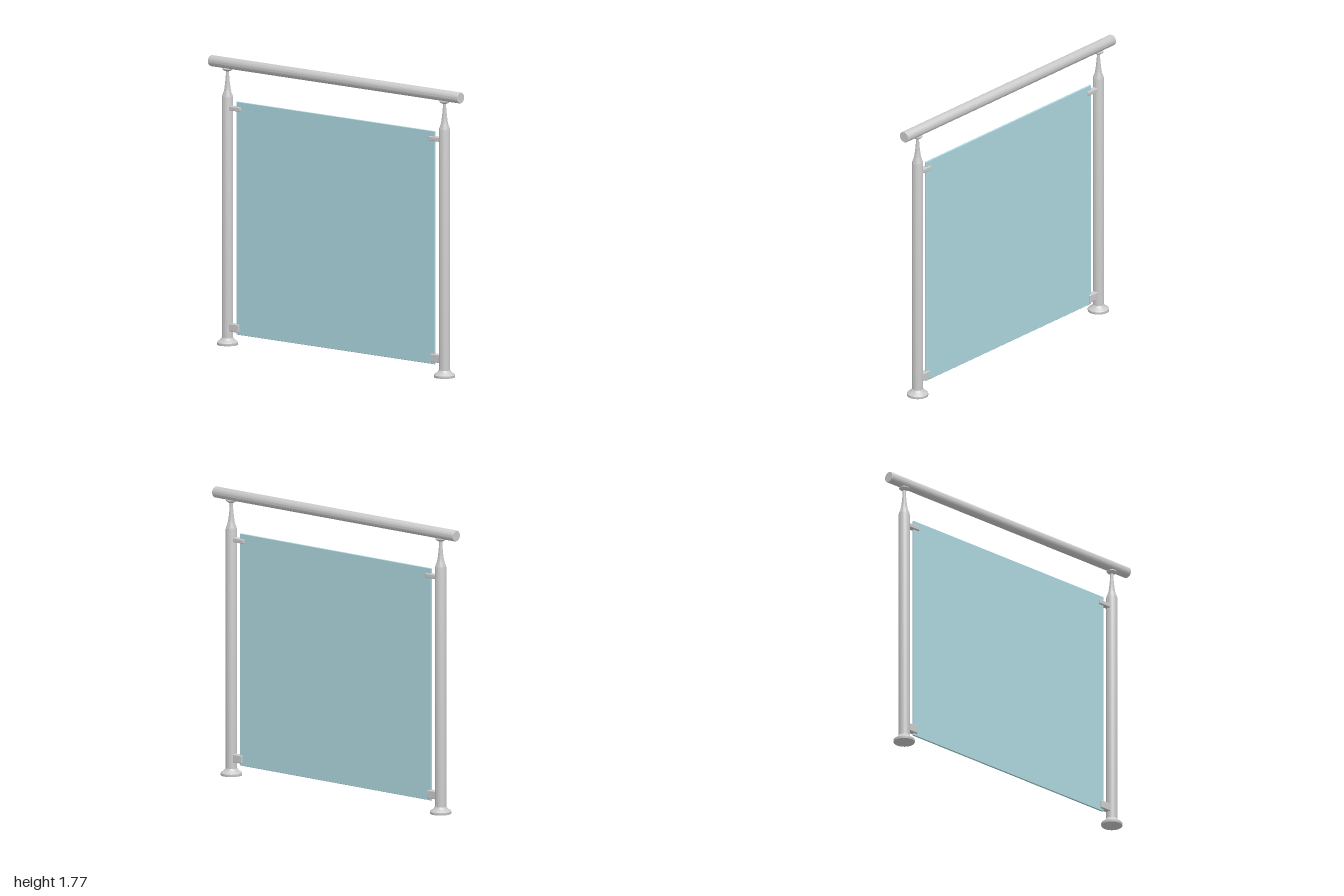
import * as THREE from 'three';
import { toCreasedNormals } from 'three/addons/utils/BufferGeometryUtils.js';
import { RoundedBoxGeometry } from 'three/addons/geometries/RoundedBoxGeometry.js';

const metal = new THREE.MeshStandardMaterial({ color: 0xcccccc });
const glass = new THREE.MeshStandardMaterial({ color: 0xaed8e0 });

function add(parent, name, geometry, material, x = 0, y = 0, z = 0) {
  const mesh = new THREE.Mesh(geometry, material);
  mesh.name = name;
  mesh.position.set(x, y, z);
  parent.add(mesh);
  return mesh;
}

function lathe(points) {
  const profile = points.map(([r, y]) => new THREE.Vector2(r, y));
  return toCreasedNormals(new THREE.LatheGeometry(profile, 40), 0.6);
}

export function createModel() {
  const model = new THREE.Group();
  model.name = 'glassRailing';

  // Flared floor flange
  const flange = lathe([
    [0, 0], [0.064, 0], [0.065, 0.004], [0.065, 0.015], [0.061, 0.02],
    [0.05, 0.026], [0.042, 0.034], [0.036, 0.044], [0, 0.044],
  ]);
  // Straight tube, rounded shoulder and slender neck
  const post = lathe([
    [0.034, 0.02], [0.034, 1.525], [0.032, 1.535], [0.023, 1.56],
    [0.019, 1.58], [0.015, 1.61], [0.012, 1.64], [0.01, 1.665], [0.01, 1.695],
  ]);
  // Shallow saddle cup carrying the handrail
  const saddle = lathe([
    [0, 1.685], [0.012, 1.686], [0.024, 1.692], [0.031, 1.699], [0.031, 1.705], [0, 1.706],
  ]);

  // Posts with their glass clamps, mirrored left and right
  for (const [side, s] of [['left', 1], ['right', -1]]) {
    const group = new THREE.Group();
    group.name = side + 'Post';
    model.add(group);
    for (const [name, geometry] of [['Flange', flange], ['Tube', post], ['Saddle', saddle]]) {
      add(group, side + name, geometry, metal, s * 0.87);
    }
    add(group, side + 'UpperClamp', new RoundedBoxGeometry(0.095, 0.027, 0.036, 3, 0.005), metal, s * 0.803, 1.462);
    add(group, side + 'LowerClamp', new RoundedBoxGeometry(0.08, 0.05, 0.036, 3, 0.005), metal, s * 0.81, 0.11);
  }

  // Infill pane
  add(model, 'glassPanel', new RoundedBoxGeometry(1.59, 1.437, 0.012, 2, 0.003), glass, 0, 0.789);

  // Handrail with slightly bevelled ends
  const rail = lathe([[0, -1], [0.032, -1], [0.034, -0.997], [0.034, 0.997], [0.032, 1], [0, 1]]);
  add(model, 'handrail', rail, metal, 0, 1.736).rotation.z = -Math.PI / 2;

  return model;
}
